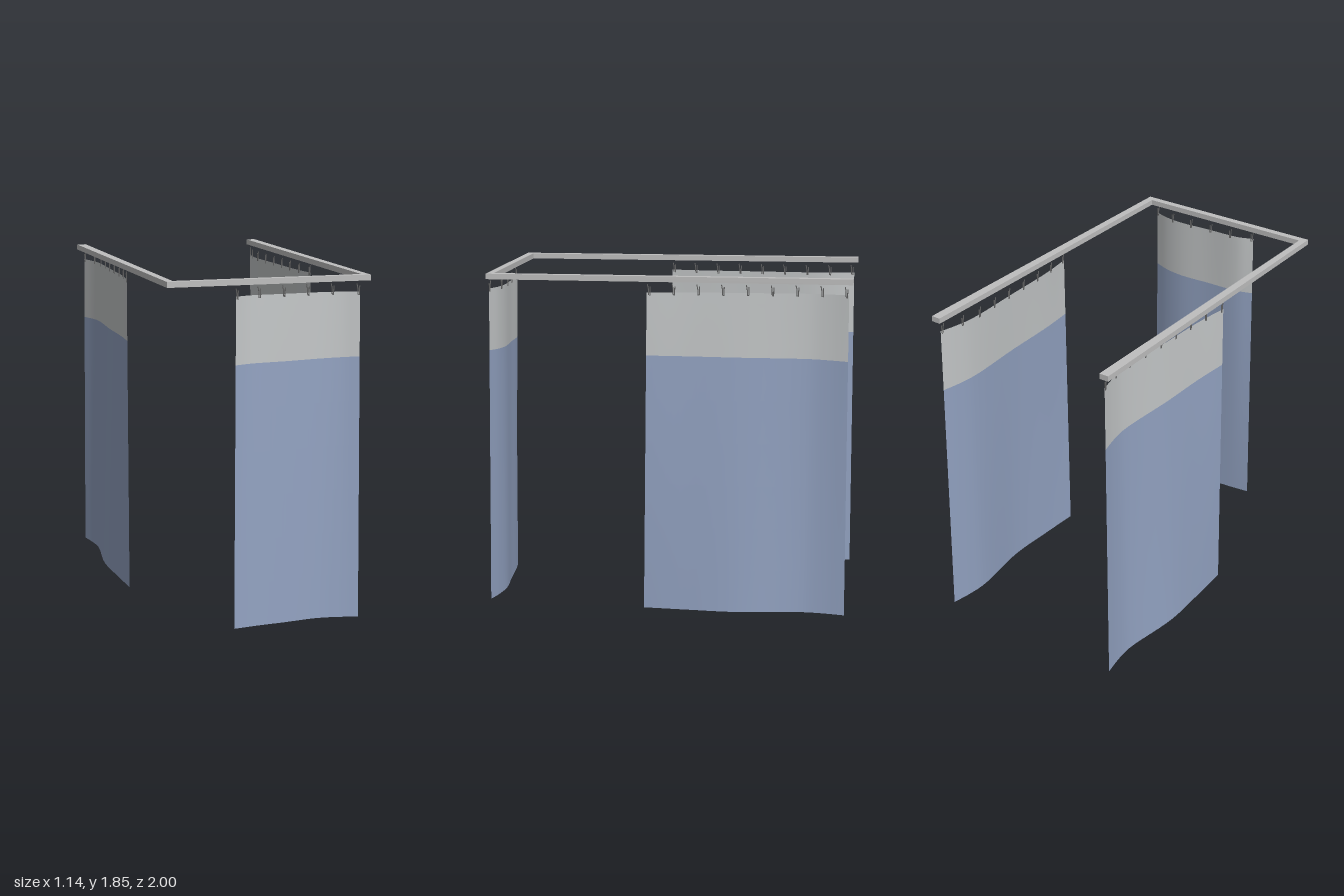
import * as THREE from 'three';

const mat = (name, color, side = THREE.FrontSide) => {
  const m = new THREE.MeshStandardMaterial({ color, side });
  m.name = name;
  return m;
};

// Smooth curve through [along, offset] points, given as (x, z)
const curveOf = (pts) =>
  new THREE.CatmullRomCurve3(pts.map(([x, z]) => new THREE.Vector3(x, 0, z)));

// Ruled cloth surface between height fractions lo(t) and hi(t) of one curtain
function clothGeometry(top, bottom, height, lo, hi, cols = 28, rows = 6) {
  const pos = [], index = [];
  for (let j = 0; j <= rows; j++) {
    for (let i = 0; i <= cols; i++) {
      const t = i / cols;
      const y = lo(t) + (hi(t) - lo(t)) * (j / rows);
      const p = bottom.getPoint(t).lerp(top.getPoint(t), y / height);
      pos.push(p.x, y, p.z);
      if (i < cols && j < rows) {
        const a = j * (cols + 1) + i, b = a + 1, c = a + cols + 1, d = c + 1;
        index.push(a, b, d, a, d, c);
      }
    }
  }
  const g = new THREE.BufferGeometry();
  g.setAttribute('position', new THREE.Float32BufferAttribute(pos, 3));
  g.setIndex(index);
  g.computeVertexNormals();
  return g;
}

export function createModel() {
  const root = new THREE.Group();
  root.name = 'curtainTrack';
  const railMat = mat('railGrey', 0xbebebe);
  const clothMat = mat('clothBlue', 0x92a2c1, THREE.DoubleSide);
  const meshMat = mat('meshPanelGrey', 0xc3c6c7, THREE.DoubleSide);
  const hookMat = mat('hookGrey', 0x6a6a6a);

  // U-shaped rail, open at the back
  const outline = [
    [-0.57, -1], [-0.517, -1], [-0.512, 0.937], [0.508, 0.937],
    [0.515, -1], [0.567, -1], [0.547, 0.976], [-0.55, 0.976],
  ].map(([x, z]) => new THREE.Vector2(x, z));
  const railGeo = new THREE.ExtrudeGeometry(new THREE.Shape(outline), { depth: 0.03, bevelEnabled: false });
  railGeo.rotateX(Math.PI / 2);
  const rail = new THREE.Mesh(railGeo, railMat);
  rail.name = 'rail';
  rail.position.y = 1.845;
  root.add(rail);

  // Narrow bent hook, wide at the top and pointed at the bottom
  const hookPath = new THREE.CatmullRomCurve3([
    [-0.009, 0.043], [-0.004, 0.02], [-0.001, -0.017], [0.003, -0.018], [0.005, 0.01], [0.006, 0.032],
  ].map(([x, y]) => new THREE.Vector3(x, y, 0)));
  const hookGeo = new THREE.TubeGeometry(hookPath, 12, 0.003, 5);

  const H = 1.757;
  function addCurtain(name, topPts, bottomPts, seam, hooks) {
    const group = new THREE.Group();
    group.name = name;
    const top = curveOf(topPts), bottom = curveOf(bottomPts);
    const lower = new THREE.Mesh(clothGeometry(top, bottom, H, () => 0, seam), clothMat);
    lower.name = 'lowerCloth';
    const upper = new THREE.Mesh(clothGeometry(top, bottom, H, seam, () => H), meshMat);
    upper.name = 'upperMesh';
    group.add(lower, upper);
    // Hooks spaced evenly along the top hem
    for (let i = 0; i < hooks; i++) {
      const t = 0.012 + (0.976 * i) / (hooks - 1);
      const p = top.getPointAt(t), d = top.getTangentAt(t);
      const hook = new THREE.Mesh(hookGeo, hookMat);
      hook.name = 'hook';
      hook.position.set(p.x, H, p.z);
      hook.rotation.y = Math.atan2(-d.z, d.x);
      group.add(hook);
    }
    root.add(group);
  }

  // Front curtain
  addCurtain('frontCurtain',
    [[-0.187, 0.974], [-0.1, 0.944], [0.1, 0.937], [0.29, 0.928], [0.4, 0.942], [0.49, 0.972]],
    [[-0.2, 0.998], [-0.09, 0.985], [0.09, 0.972], [0.28, 0.956], [0.4, 0.972], [0.5, 0.997]],
    (t) => 1.404 + 0.014 * t * t, 6);

  // Matching curtains on both sides
  const sideTop = [[0.538, 0.1], [0.516, -0.1], [0.505, -0.4], [0.493, -0.77], [0.508, -0.88], [0.532, -0.978]];
  const sideBottom = [[0.545, 0.12], [0.556, -0.1], [0.565, -0.4], [0.522, -0.75], [0.53, -0.87], [0.55, -0.985]];
  for (const s of [1, -1]) {
    const flip = (pts) => pts.map(([x, z]) => [s * x, z]);
    addCurtain(s > 0 ? 'leftCurtain' : 'rightCurtain', flip(sideTop), flip(sideBottom),
      (t) => 1.415 - 0.013 * t, 9);
  }
  return root;
}
